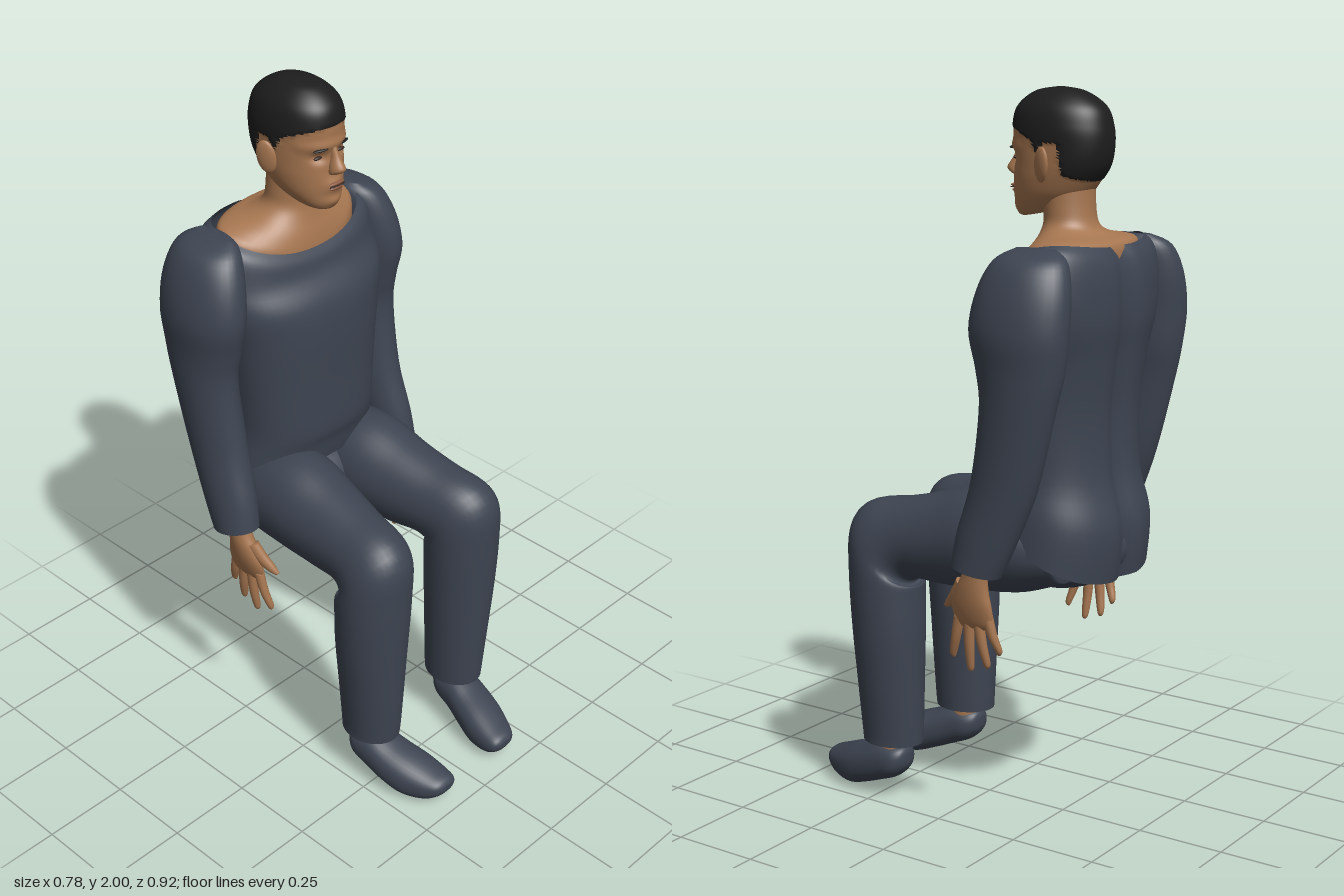
import * as THREE from 'three';

const mat = (name, color, side = THREE.FrontSide) => {
  const m = new THREE.MeshStandardMaterial({ color, side });
  m.name = name;
  return m;
};

// Catmull-Rom value between b and c
const spline = (a, b, c, d, t) =>
  0.5 * (2 * b + (c - a) * t + (2 * a - 5 * b + 4 * c - d) * t * t + (3 * b - a - 3 * c + d) * t * t * t);

// Smooth skin over sections [x, y, z, halfWidth, halfDepth, tiltDegrees].
// Tilt 0 is a level ring (travel downwards), tilt 90 an upright ring (travel forwards).
function loft(sections, { seg = 32, sub = 5, power = 2, caps = [true, true], warp, pick } = {}) {
  const rings = [];
  const last = sections.length - 1;
  const at = (i) => sections[Math.min(last, Math.max(0, i))];
  for (let i = 0; i <= last; i++) {
    for (let k = 0; k < (i < last ? sub : 1); k++) {
      rings.push([0, 1, 2, 3, 4, 5].map((c) =>
        spline(at(i - 1)[c] || 0, at(i)[c] || 0, at(i + 1)[c] || 0, at(i + 2)[c] || 0, k / sub)));
    }
  }
  const pos = [];
  const put = (x, y, z) => {
    const p = new THREE.Vector3(x, y, z);
    if (warp) warp(p);
    pos.push(p.x, p.y, p.z);
  };
  const bend = (v) => Math.sign(v) * Math.abs(v) ** (2 / power);
  for (const [x, y, z, w, d, tilt] of rings) {
    const t = THREE.MathUtils.degToRad(tilt);
    for (let j = 0; j < seg; j++) {
      const a = (j / seg) * Math.PI * 2;
      const u = bend(Math.cos(a)) * w, v = bend(Math.sin(a)) * d;
      put(x + u, y + v * Math.sin(t), z + v * Math.cos(t));
    }
  }
  const first = rings[0], end = rings[rings.length - 1], n = rings.length * seg;
  put(first[0], first[1], first[2]);
  put(end[0], end[1], end[2]);
  const parts = [[], []];
  const tri = (a, b, c) => {
    const mid = [0, 1, 2].map((k) => (pos[a * 3 + k] + pos[b * 3 + k] + pos[c * 3 + k]) / 3);
    parts[pick && pick(...mid) ? 1 : 0].push(a, b, c);
  };
  for (let j = 0; j < seg; j++) {
    const k = (j + 1) % seg;
    for (let i = 0; i < rings.length - 1; i++) {
      const a = i * seg + j, b = i * seg + k;
      tri(a, b, a + seg);
      tri(b, b + seg, a + seg);
    }
    if (caps[0]) tri(n, k, j);
    if (caps[1]) tri(n + 1, n - seg + j, n - seg + k);
  }
  const g = new THREE.BufferGeometry();
  g.setAttribute('position', new THREE.Float32BufferAttribute(pos, 3));
  g.setIndex([...parts[0], ...parts[1]]);
  if (pick) {
    g.addGroup(0, parts[0].length, 0);
    g.addGroup(parts[0].length, parts[1].length, 1);
  }
  g.computeVertexNormals();
  return g;
}

const bump = (d, width) => Math.exp(-((d / width) ** 2));

// Height of the hairline for a given depth
function hairline(z) {
  const pts = [[-0.34, 1.76], [-0.285, 1.775], [-0.275, 1.86], [-0.235, 1.86], [-0.215, 1.83],
    [-0.195, 1.865], [-0.15, 1.885], [-0.1, 1.9]];
  if (z <= pts[0][0]) return pts[0][1];
  for (let i = 1; i < pts.length; i++) {
    const [z0, y0] = pts[i - 1], [z1, y1] = pts[i];
    if (z < z1) return y0 + ((y1 - y0) * (z - z0)) / (z1 - z0);
  }
  return 1.9;
}

export function createModel() {
  const fabric = mat('dark blue fabric', 0x3e4552, THREE.DoubleSide);
  const skin = mat('skin', 0xa67650);
  const hair = mat('black hair', 0x1d1d1d);
  const lip = mat('lips', 0x8a5a42);
  const eye = mat('dark eyes', 0x3a2a22);

  const model = new THREE.Group();
  model.name = 'seatedFigure';
  const add = (name, geometry, material) => {
    const m = new THREE.Mesh(geometry, material);
    m.name = name;
    model.add(m);
    return m;
  };
  const blob = (name, material, p, s) => {
    const m = add(name, new THREE.SphereGeometry(1, 20, 14), material);
    m.position.set(...p);
    m.scale.set(...s);
    return m;
  };

  // Shirt body: wide scooped neckline, spine groove, hem slanting down at the back
  const scoop = (p) => {
    p.y += 0.038 * Math.min(1, (p.x / 0.23) ** 2) * THREE.MathUtils.smoothstep(p.y, 1.45, 1.54);
  };
  add('shirt', loft([
    [0, 1.565, -0.285, 0.23, 0.13, -14],
    [0, 1.535, -0.287, 0.265, 0.147, -10],
    [0, 1.48, -0.287, 0.285, 0.158, -4],
    [0, 1.4, -0.268, 0.28, 0.178, 0],
    [0, 1.3, -0.255, 0.255, 0.176, 0],
    [0, 1.15, -0.248, 0.235, 0.168, 0],
    [0, 1.0, -0.252, 0.225, 0.173, 4],
    [0, 0.9, -0.275, 0.238, 0.187, 15],
    [0, 0.8, -0.275, 0.245, 0.19, 28],
  ], {
    seg: 64, power: 2.35, caps: [false, false],
    warp: (p) => {
      scoop(p);
      if (p.z < -0.3) p.z += 0.022 * bump(p.x, 0.035);
    },
  }), fabric);
  blob('seat', fabric, [0, 0.79, -0.255], [0.22, 0.125, 0.185]);

  // Neck and bare upper chest
  add('neck', loft([
    [0, 1.77, -0.25, 0.07, 0.072, 0],
    [0, 1.69, -0.255, 0.073, 0.068, 0],
    [0, 1.645, -0.26, 0.08, 0.072, 0],
    [0, 1.615, -0.268, 0.115, 0.088, -5],
    [0, 1.585, -0.28, 0.18, 0.115, -12],
    [0, 1.555, -0.285, 0.222, 0.126, -14],
    [0, 1.5, -0.285, 0.22, 0.125, -10],
  ], { seg: 48, warp: scoop }), skin);

  // Head with a short crop of hair, sockets, lips and chin shaped by bumps
  const head = loft([
    [0, 2.0, -0.225, 0.006, 0.008, 0],
    [0, 1.988, -0.225, 0.048, 0.07, 0],
    [0, 1.95, -0.229, 0.086, 0.121, 0],
    [0, 1.9, -0.232, 0.1, 0.137, 0],
    [0, 1.85, -0.234, 0.101, 0.138, 0],
    [0, 1.8, -0.23, 0.099, 0.132, 0],
    [0, 1.76, -0.217, 0.094, 0.12, 0],
    [0, 1.72, -0.205, 0.083, 0.108, -4],
    [0, 1.69, -0.195, 0.064, 0.095, -9],
    [0, 1.675, -0.185, 0.045, 0.07, -11],
    [0, 1.672, -0.18, 0.015, 0.02, -11],
  ], {
    seg: 72, sub: 8, power: 2.15, pick: (x, y, z) => y > hairline(z),
    warp: (p) => {
      if (p.y > hairline(p.z)) {
        p.x *= 1.035;
        p.z = -0.23 + (p.z + 0.23) * 1.025;
      } else if (p.z > -0.16) {
        const ax = Math.abs(p.x);
        p.z -= 0.014 * bump(ax - 0.04, 0.02) * bump(p.y - 1.818, 0.015);
        p.z += 0.006 * bump(p.y - 1.85, 0.014);
        p.z += 0.012 * bump(ax, 0.03) * bump(p.y - 1.735, 0.022);
        p.z += 0.008 * bump(ax, 0.03) * bump(p.y - 1.69, 0.015);
      }
    },
  });
  add('head', head, [skin, hair]);
  add('nose', loft([
    [0, 1.845, -0.1, 0.008, 0.008, 0],
    [0, 1.815, -0.094, 0.011, 0.016, 0],
    [0, 1.787, -0.086, 0.02, 0.026, 0],
    [0, 1.772, -0.092, 0.02, 0.016, 0],
    [0, 1.767, -0.097, 0.01, 0.008, 0],
  ], { seg: 20 }), skin);
  blob('upperLip', lip, [0, 1.742, -0.088], [0.027, 0.005, 0.007]);
  blob('lowerLip', lip, [0, 1.729, -0.09], [0.023, 0.006, 0.007]);
  blob('mouthLine', eye, [0, 1.736, -0.086], [0.028, 0.0018, 0.006]);

  for (const s of [1, -1]) {
    const side = s > 0 ? 'left' : 'right';
    const flip = (rows) => rows.map(([x, ...rest]) => [x * s, ...rest]);
    const limb = (name, rows, material, options) => add(side + name, loft(flip(rows), options), material);

    // Face details and ear
    blob(side + 'Eye', eye, [0.041 * s, 1.817, -0.115], [0.014, 0.005, 0.006]);
    const brow = blob(side + 'Eyebrow', hair, [0.042 * s, 1.843, -0.102], [0.022, 0.0035, 0.006]);
    brow.rotation.set(0, 0.35 * s, -0.05 * s);
    const ear = blob(side + 'Ear', skin, [0.109 * s, 1.805, -0.235], [0.011, 0.047, 0.028]);
    ear.rotation.set(-0.15, -0.4 * s, -0.12 * s);

    // Sleeve
    limb('Sleeve', [
      [0.235, 1.605, -0.305, 0.02, 0.06, 0],
      [0.262, 1.575, -0.305, 0.066, 0.105, 0],
      [0.285, 1.5, -0.3, 0.084, 0.133, 0],
      [0.3, 1.4, -0.295, 0.088, 0.142, 0],
      [0.3, 1.3, -0.3, 0.081, 0.126, 0],
      [0.304, 1.2, -0.295, 0.073, 0.108, 0],
      [0.303, 1.0, -0.255, 0.068, 0.095, 5],
      [0.312, 0.85, -0.205, 0.063, 0.085, 10],
      [0.318, 0.765, -0.178, 0.058, 0.073, 11],
    ], fabric, { seg: 36, caps: [true, false] });

    // Hand: thin palm, four spread fingers and a thumb
    limb('Palm', [
      [0.314, 0.84, -0.19, 0.03, 0.036],
      [0.313, 0.76, -0.172, 0.028, 0.036],
      [0.311, 0.71, -0.16, 0.028, 0.048],
      [0.307, 0.66, -0.155, 0.024, 0.062],
      [0.3, 0.615, -0.157, 0.018, 0.06],
      [0.298, 0.598, -0.158, 0.01, 0.045],
    ], skin, { seg: 24 });
    for (const [name, z0, y0, z1, y1] of [
      ['IndexFinger', -0.112, 0.63, -0.082, 0.5], ['MiddleFinger', -0.142, 0.62, -0.138, 0.47],
      ['RingFinger', -0.172, 0.62, -0.19, 0.487], ['LittleFinger', -0.2, 0.64, -0.228, 0.53],
    ]) {
      const zm = (z0 + z1) / 2, ym = (y0 + y1) / 2;
      limb(name, [
        [0.301, y0, z0, 0.014, 0.016], [0.297, ym, zm, 0.013, 0.014],
        [0.288, y1 + 0.014, z1, 0.01, 0.01], [0.286, y1, z1, 0.004, 0.004],
      ], skin, { seg: 14 });
    }
    limb('Thumb', [
      [0.307, 0.72, -0.128, 0.018, 0.022, 30], [0.298, 0.68, -0.1, 0.017, 0.02, 40],
      [0.288, 0.652, -0.072, 0.013, 0.014, 45], [0.283, 0.638, -0.053, 0.006, 0.006, 45],
    ], skin, { seg: 14 });

    // Trouser leg: thigh forwards, knee bend, shin down
    limb('TrouserLeg', [
      [0.135, 0.79, -0.35, 0.085, 0.075, 90],
      [0.138, 0.8, -0.22, 0.125, 0.13, 90],
      [0.14, 0.802, -0.09, 0.13, 0.147, 90],
      [0.149, 0.783, 0.04, 0.116, 0.13, 88],
      [0.162, 0.77, 0.145, 0.106, 0.116, 82],
      [0.177, 0.738, 0.217, 0.107, 0.134, 50],
      [0.182, 0.655, 0.222, 0.108, 0.112, 15],
      [0.183, 0.5, 0.217, 0.1, 0.105, 0],
      [0.18, 0.35, 0.214, 0.088, 0.099, 0],
      [0.177, 0.21, 0.211, 0.077, 0.093, 0],
      [0.177, 0.17, 0.21, 0.075, 0.09, 0],
    ], fabric, { seg: 40, sub: 6, caps: [true, false] });

    // Ankle and shoe
    limb('Ankle', [
      [0.177, 0.3, 0.208, 0.045, 0.048], [0.177, 0.2, 0.207, 0.042, 0.045], [0.176, 0.11, 0.21, 0.045, 0.045],
    ], skin, { seg: 24 });
    limb('Shoe', [
      [0.182, 0.125, 0.154, 0.015, 0.015, 90],
      [0.181, 0.122, 0.163, 0.038, 0.033, 90],
      [0.18, 0.113, 0.19, 0.055, 0.049, 90],
      [0.176, 0.104, 0.24, 0.061, 0.061, 90],
      [0.166, 0.081, 0.3, 0.068, 0.061, 90],
      [0.152, 0.062, 0.36, 0.07, 0.06, 90],
      [0.137, 0.054, 0.42, 0.059, 0.044, 90],
      [0.129, 0.058, 0.455, 0.043, 0.026, 90],
      [0.128, 0.06, 0.467, 0.022, 0.01, 90],
    ], fabric, { seg: 32, power: 2.3 });
  }
  return model;
}
